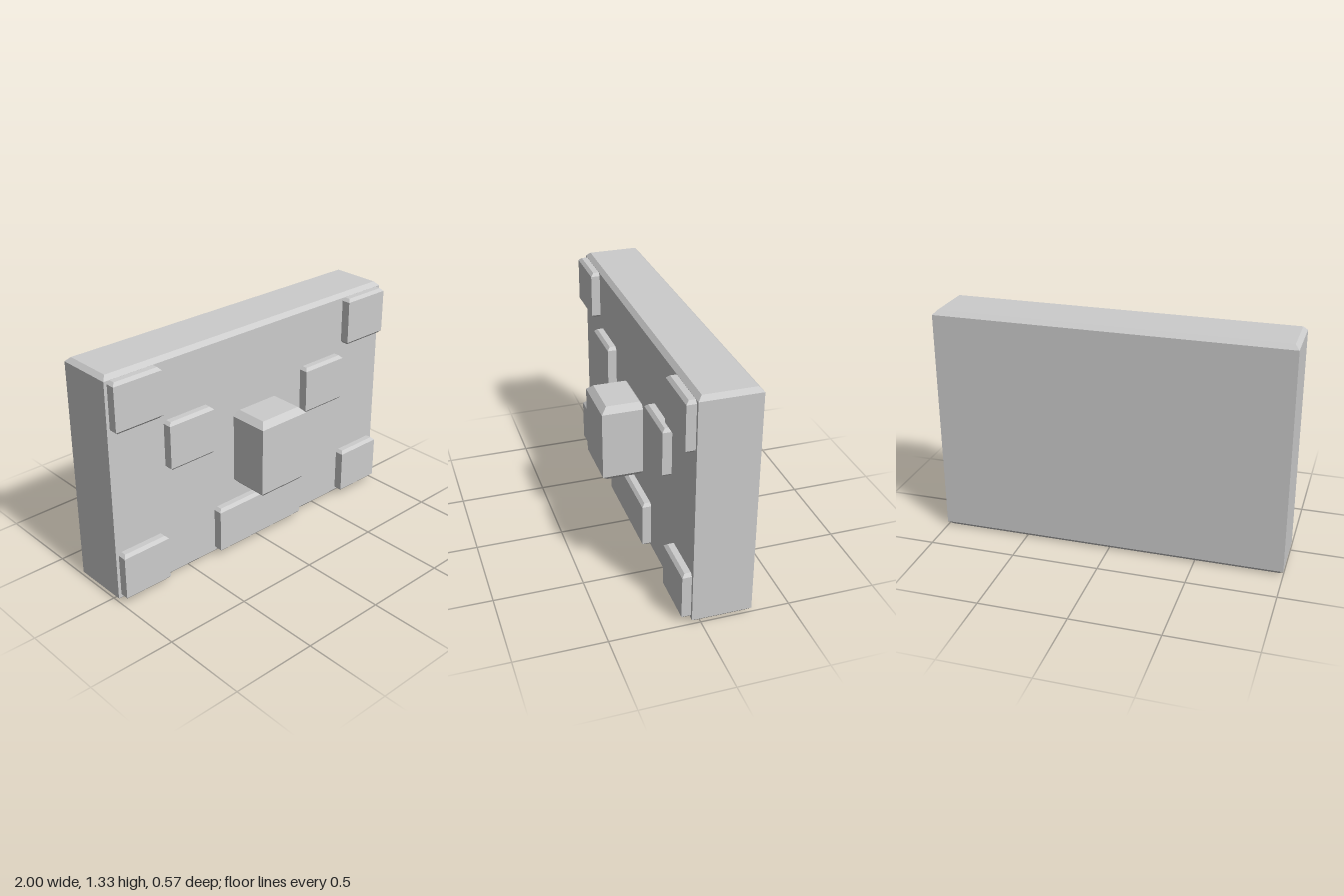
import * as THREE from 'three';

const material = new THREE.MeshStandardMaterial({ color: 0xcccccc, flatShading: true });

// Box from min to max corner, with its top and bottom rims chamfered by c
function chamferedBlock(name, [x0, y0, z0], [x1, y1, z1], c) {
  const w = x1 - x0, h = y1 - y0, d = z1 - z0;
  const geometry = new THREE.BoxGeometry(w, h, d, 1, 3, 1);
  const p = geometry.attributes.position;
  for (let i = 0; i < p.count; i++) {
    const x = p.getX(i), y = p.getY(i), z = p.getZ(i);
    const isRim = Math.abs(y) > h * 0.4;
    if (isRim) p.setXYZ(i, x - Math.sign(x) * c, y, z - Math.sign(z) * c);
    else p.setY(i, Math.sign(y) * (h / 2 - c));
  }
  geometry.computeVertexNormals();
  const mesh = new THREE.Mesh(geometry, material);
  mesh.name = name;
  mesh.position.set((x0 + x1) / 2, (y0 + y1) / 2, (z0 + z1) / 2);
  return mesh;
}

export function createModel() {
  const group = new THREE.Group();
  group.name = 'facePanel';

  // Main slab
  group.add(chamferedBlock('slab', [-1, 0, -0.284], [1, 1.334, 0.049], 0.024));

  // Shallow pads on the front, embedded slightly in the slab
  const back = 0.033, front = 0.101, bevel = 0.017;
  const pad = (name, x0, x1, y0, y1) =>
    group.add(chamferedBlock(name, [x0, y0, back], [x1, y1, front], bevel));

  // Mirrored pairs: corners and eyes
  const pairs = [
    ['UpperCorner', 0.684, 0.982, 1.027, 1.31],
    ['Eye', 0.348, 0.648, 0.694, 0.977],
    ['LowerCorner', 0.684, 0.982, 0.027, 0.31],
  ];
  for (const [name, x0, x1, y0, y1] of pairs) {
    pad('left' + name, x0, x1, y0, y1);
    pad('right' + name, -x1, -x0, y0, y1);
  }
  pad('mouth', -0.315, 0.315, 0.027, 0.31);

  // Protruding nose
  group.add(chamferedBlock('nose', [-0.165, 0.402, 0.027], [0.165, 0.869, 0.284], 0.034));

  return group;
}
